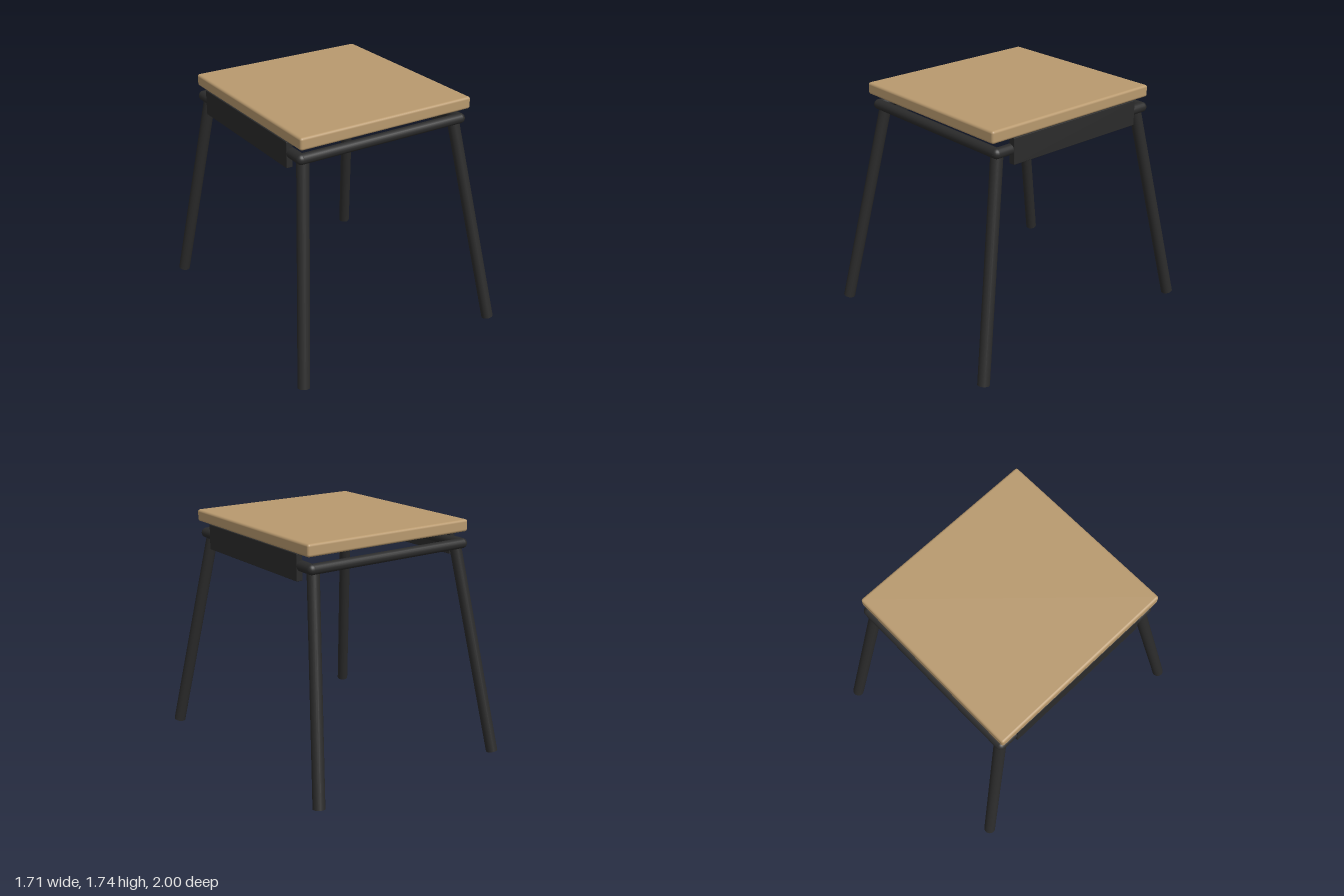
import * as THREE from 'three';
import { RoundedBoxGeometry } from 'three/addons/geometries/RoundedBoxGeometry.js';

const wood = new THREE.MeshStandardMaterial({ name: 'wood', color: 0xb8996e });
const metal = new THREE.MeshStandardMaterial({ name: 'dark metal', color: 0x2b2b2b });

// Round bar between two points
function bar(name, a, b, radius) {
  const from = new THREE.Vector3(...a), to = new THREE.Vector3(...b);
  const dir = to.clone().sub(from);
  const mesh = new THREE.Mesh(new THREE.CylinderGeometry(radius, radius, dir.length(), 18), metal);
  mesh.position.copy(from).add(to).multiplyScalar(0.5);
  mesh.quaternion.setFromUnitVectors(new THREE.Vector3(0, 1, 0), dir.normalize());
  mesh.name = name;
  return mesh;
}

export function createModel() {
  const model = new THREE.Group();
  model.name = 'stool';

  // Seat board, set slightly forward on the frame
  const seat = new THREE.Mesh(new RoundedBoxGeometry(1.38, 0.088, 1.46, 3, 0.018), wood);
  seat.position.set(0, 1.692, 0.023);
  seat.name = 'seat';
  model.add(seat);

  // Tubular frame under the seat
  const fx = 0.652, fy = 1.565, fz = 0.69, r = 0.037;
  const frame = new THREE.Group();
  frame.name = 'frame';
  for (const s of [1, -1]) {
    frame.add(bar(s > 0 ? 'frontRail' : 'backRail', [-fx, fy, s * fz], [fx, fy, s * fz], r));
    frame.add(bar(s > 0 ? 'leftRail' : 'rightRail', [s * fx, fy, -fz], [s * fx, fy, fz], r));

    // Side plates carrying the seat
    const plate = new THREE.Mesh(new RoundedBoxGeometry(0.047, 0.186, 1.146, 1, 0.004), metal);
    plate.position.set(s * 0.667, 1.557, 0);
    plate.name = s > 0 ? 'leftPlate' : 'rightPlate';
    model.add(plate);

    // Rounded frame corners and splayed legs
    for (const z of [1, -1]) {
      const corner = new THREE.Mesh(new THREE.SphereGeometry(r, 18, 12), metal);
      corner.position.set(s * fx, fy, z * fz);
      corner.name = 'frameCorner';
      frame.add(corner);

      const footX = z > 0 ? 0.815 : 0.79;
      model.add(bar(z > 0 ? 'frontLeg' : 'backLeg',
        [s * footX, 0.01, z * 0.957], [s * 0.617, 1.56, z * 0.655], 0.043));
    }
  }
  model.add(frame);
  return model;
}
